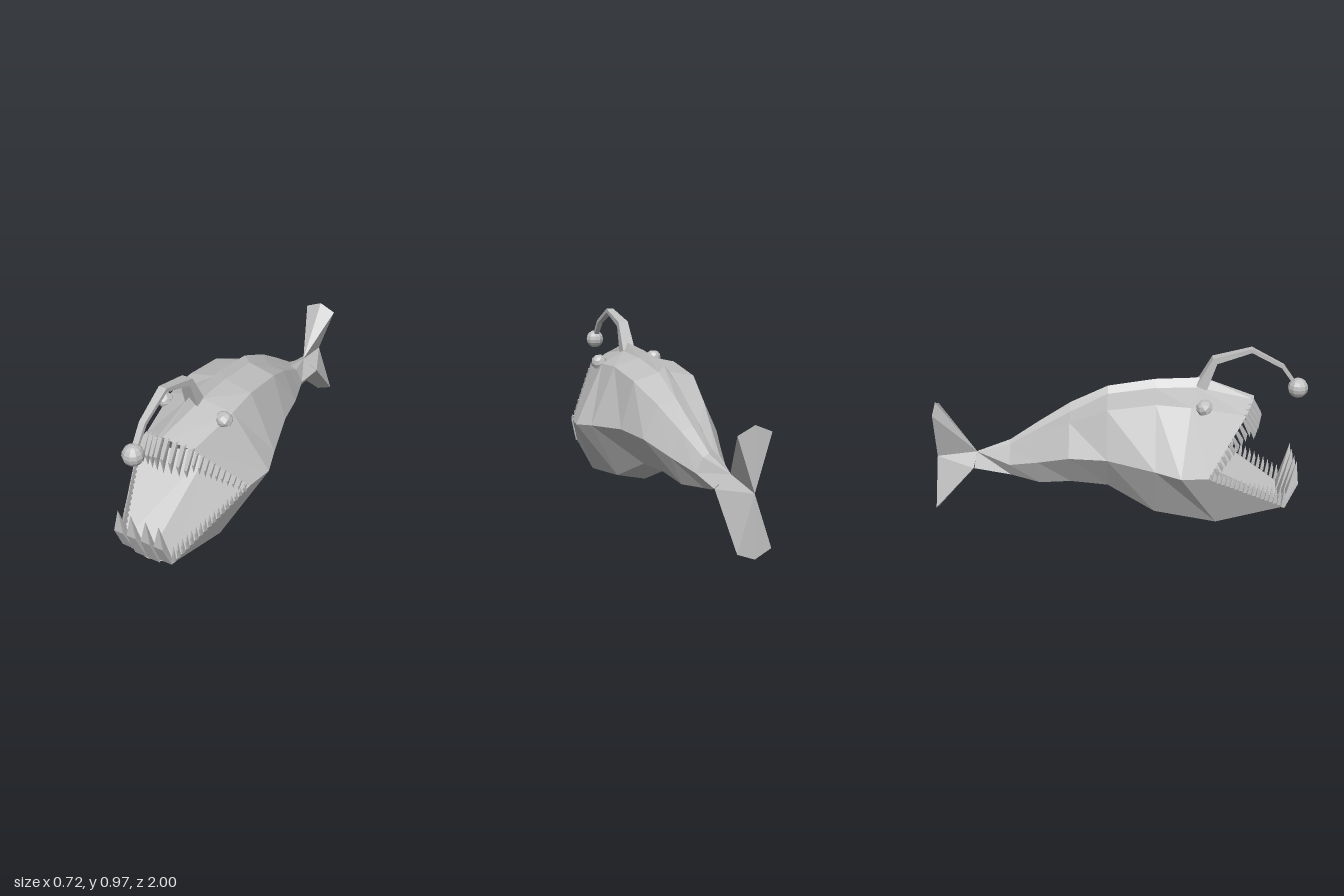
import * as THREE from 'three';
import { ConvexGeometry } from 'three/addons/geometries/ConvexGeometry.js';

const V = (x, y, z) => new THREE.Vector3(x, y, z);

export function createModel() {
  const skin = new THREE.MeshStandardMaterial({ color: 0xc0c0c0 });
  skin.name = 'greySkin';
  const model = new THREE.Group();
  model.name = 'anglerfish';

  // Adds a faceted mesh
  function add(name, geometry, parent = model) {
    const geo = geometry.index ? geometry.toNonIndexed() : geometry;
    geo.computeVertexNormals();
    const mesh = new THREE.Mesh(geo, skin);
    mesh.name = name;
    parent.add(mesh);
    return mesh;
  }
  const hull = (name, points, parent) => add(name, new ConvexGeometry(points), parent);
  const fromTriangles = (points) => new THREE.BufferGeometry().setFromPoints(points);

  // Skins neighbouring closed rings of equal length
  function loft(rings) {
    const out = [];
    for (let i = 0; i + 1 < rings.length; i++) {
      const n = rings[i].length;
      for (let j = 0; j < n; j++) {
        const k = (j + 1) % n;
        const a = rings[i][j], b = rings[i][k], c = rings[i + 1][k], d = rings[i + 1][j];
        out.push(a, b, c, a, c, d);
      }
    }
    return fromTriangles(out);
  }

  // Half cross-sections: back ridge, ridge foot, shoulder, flank, belly edge, keel
  const mouthRim = [V(0, 0.71, 0.72), V(0.03, 0.7, 0.715), V(0.135, 0.65, 0.67),
    V(0.33, 0.38, 0.47), V(0.15, 0.13, 0.9), V(0, 0.09, 0.9)];
  const head = [V(0, 0.81, 0.45), V(0.03, 0.765, 0.42), V(0.18, 0.71, 0.38),
    V(0.36, 0.39, 0.33), V(0.19, 0.055, 0.53), V(0, 0.005, 0.53)];
  const sections = [
    // z, ridge y, foot x y, shoulder x y, flank x y, belly x y, keel y
    [0.2, 0.8, 0.03, 0.76, 0.18, 0.725, 0.32, 0.41, 0.17, 0.105, 0.06],
    [-0.05, 0.76, 0.03, 0.725, 0.175, 0.69, 0.25, 0.44, 0.12, 0.235, 0.21],
    [-0.25, 0.665, 0.025, 0.62, 0.13, 0.6, 0.21, 0.43, 0.1, 0.245, 0.22],
    [-0.42, 0.555, 0.02, 0.52, 0.085, 0.5, 0.145, 0.375, 0.08, 0.225, 0.205],
    [-0.58, 0.445, 0.012, 0.42, 0.045, 0.405, 0.085, 0.33, 0.04, 0.25, 0.235],
    [-0.77, 0.37, 0, 0.37, 0, 0.37, 0, 0.37, 0.088, 0.31, 0.31],
  ].map(([z, ty, fx, fy, sx, sy, wx, wy, bx, by, ky]) =>
    [V(0, ty, z), V(fx, fy, z), V(sx, sy, z), V(wx, wy, z), V(bx, by, z), V(0, ky, z)]);
  const whole = (half) => [...half, ...half.slice(1, -1).reverse().map((p) => V(-p.x, p.y, p.z))];
  const rings = [mouthRim, head, ...sections].map(whole);
  add('body', loft(rings));

  // Mouth lining, a fan from the throat to the rim
  const throat = V(0, 0.375, 0.32);
  add('mouthLining', fromTriangles(
    rings[0].flatMap((p, i) => [throat, rings[0][(i + 1) % rings[0].length], p])));

  // Tail lobes
  const tailRoot = V(0, 0.37, -0.765), notch = V(0, 0.34, -0.985);
  hull('upperTailLobe', [tailRoot, notch, V(0.09, 0.615, -0.975),
    V(-0.09, 0.615, -0.975), V(0, 0.655, -0.975)]);
  hull('lowerTailLobe', [tailRoot, notch, V(0.088, 0.31, -0.775), V(-0.088, 0.31, -0.775),
    V(0.09, 0.068, -0.995), V(-0.09, 0.068, -0.995), V(0, 0.03, -1)]);

  // Bent tooth: wide root, narrower middle, pointed tip
  const teeth = new THREE.Group();
  teeth.name = 'teeth';
  model.add(teeth);
  function tooth(name, root, mid, tip, w, t) {
    const points = [tip];
    for (const sx of [-1, 1]) for (const sz of [-1, 1]) {
      points.push(V(root.x + sx * w, root.y, root.z + sz * t));
      points.push(V(mid.x + sx * w * 0.7, mid.y, mid.z + sz * t * 0.6));
    }
    hull(name, points, teeth);
  }

  for (const s of [-1, 1]) {
    // Long upper front teeth
    for (let i = 0; i < 4; i++) {
      const x = 0.018 + i * 0.036, f = x / 0.135;
      const root = V(s * x, 0.712 - 0.06 * f, 0.708 - 0.045 * f);
      tooth('upperFrontTooth', root, root.clone().add(V(0, -0.09, 0.055)),
        root.clone().add(V(0, -0.185 + 0.045 * f, 0.05)), 0.012, 0.01);
    }
    // Upper side teeth, shrinking towards the mouth corner
    for (let i = 0; i < 10; i++) {
      const f = (i + 0.7) / 10.5, len = 0.1 - 0.06 * f;
      const root = mouthRim[2].clone().lerp(mouthRim[3], f);
      root.x *= s;
      tooth('upperSideTooth', root, root.clone().add(V(0, -len * 0.5, len * 0.35)),
        root.clone().add(V(0, -len, len * 0.35)), 0.007, 0.009);
    }
    // Broad lower front teeth
    for (const x of [0.037, 0.111]) {
      const y = 0.09 + 0.04 * x / 0.15;
      tooth('lowerFrontTooth', V(s * x, y, 0.895), V(s * (x + 0.004), 0.26, 0.96),
        V(s * (x + 0.006), 0.385, 0.952), 0.036, 0.008);
    }
    // Lower side teeth
    for (let i = 0; i < 17; i++) {
      const f = (i + 0.4) / 17.5, len = 0.105 - 0.065 * f;
      const root = mouthRim[4].clone().lerp(mouthRim[3], f);
      root.x *= s;
      tooth('lowerSideTooth', root, root.clone().add(V(0, len * 0.5, 0.008)),
        root.clone().add(V(0, len, 0.004)), 0.006, 0.009);
    }
    // Eye with a hooded lid
    const eye = new THREE.Group();
    eye.name = s > 0 ? 'leftEye' : 'rightEye';
    eye.position.set(s * 0.17, 0.705, 0.45);
    model.add(eye);
    add('eyeball', new THREE.SphereGeometry(0.036, 8, 6), eye).rotation.x = Math.PI / 2;
    const lid = add('eyelid', new THREE.SphereGeometry(0.046, 8, 3, 0, Math.PI * 2, 0, Math.PI / 2), eye);
    lid.rotation.set(-0.6, 0, -s * 0.45);
  }

  // Lure stalk: y, z, half width, half thickness along a bent path
  const path = [[0.76, 0.44, 0.036, 0.03], [0.907, 0.505, 0.029, 0.018],
    [0.963, 0.695, 0.021, 0.011], [0.875, 0.86, 0.016, 0.01], [0.78, 0.93, 0.014, 0.009]];
  const stalkRings = path.map(([y, z, w, t], i) => {
    const p = path[Math.max(i - 1, 0)], q = path[Math.min(i + 1, path.length - 1)];
    const l = Math.hypot(q[0] - p[0], q[1] - p[1]);
    const ny = (q[1] - p[1]) / l * t, nz = -(q[0] - p[0]) / l * t;
    return [V(-w, y + ny, z + nz), V(-w, y - ny, z - nz), V(w, y - ny, z - nz), V(w, y + ny, z + nz)];
  });
  add('lureStalk', loft(stalkRings.map((r) => r.reverse())).scale(-1, 1, 1));
  fixWinding(model.getObjectByName('lureStalk').geometry, V(0, 0.86, 0.7), stalkRings);
  add('lureBulb', new THREE.SphereGeometry(0.053, 10, 8)).position.set(0, 0.756, 0.947);

  return model;
}

// Turns stalk triangles outwards from the nearest ring centre line
function fixWinding(geo, fallback, rings) {
  const pos = geo.attributes.position;
  const centres = rings.map((r) => r.reduce((s, p) => s.add(p), V(0, 0, 0)).divideScalar(r.length));
  for (let i = 0; i < pos.count; i += 3) {
    const [a, b, c] = [0, 1, 2].map((k) => new THREE.Vector3().fromBufferAttribute(pos, i + k));
    const seg = Math.floor(i / 24);
    const mid = (centres[seg] && centres[seg + 1])
      ? centres[seg].clone().lerp(centres[seg + 1], 0.5) : fallback;
    const n = b.clone().sub(a).cross(c.clone().sub(a));
    if (n.dot(a.clone().add(b).add(c).divideScalar(3).sub(mid)) < 0) {
      pos.setXYZ(i + 1, c.x, c.y, c.z);
      pos.setXYZ(i + 2, b.x, b.y, b.z);
    }
  }
  geo.computeVertexNormals();
}
